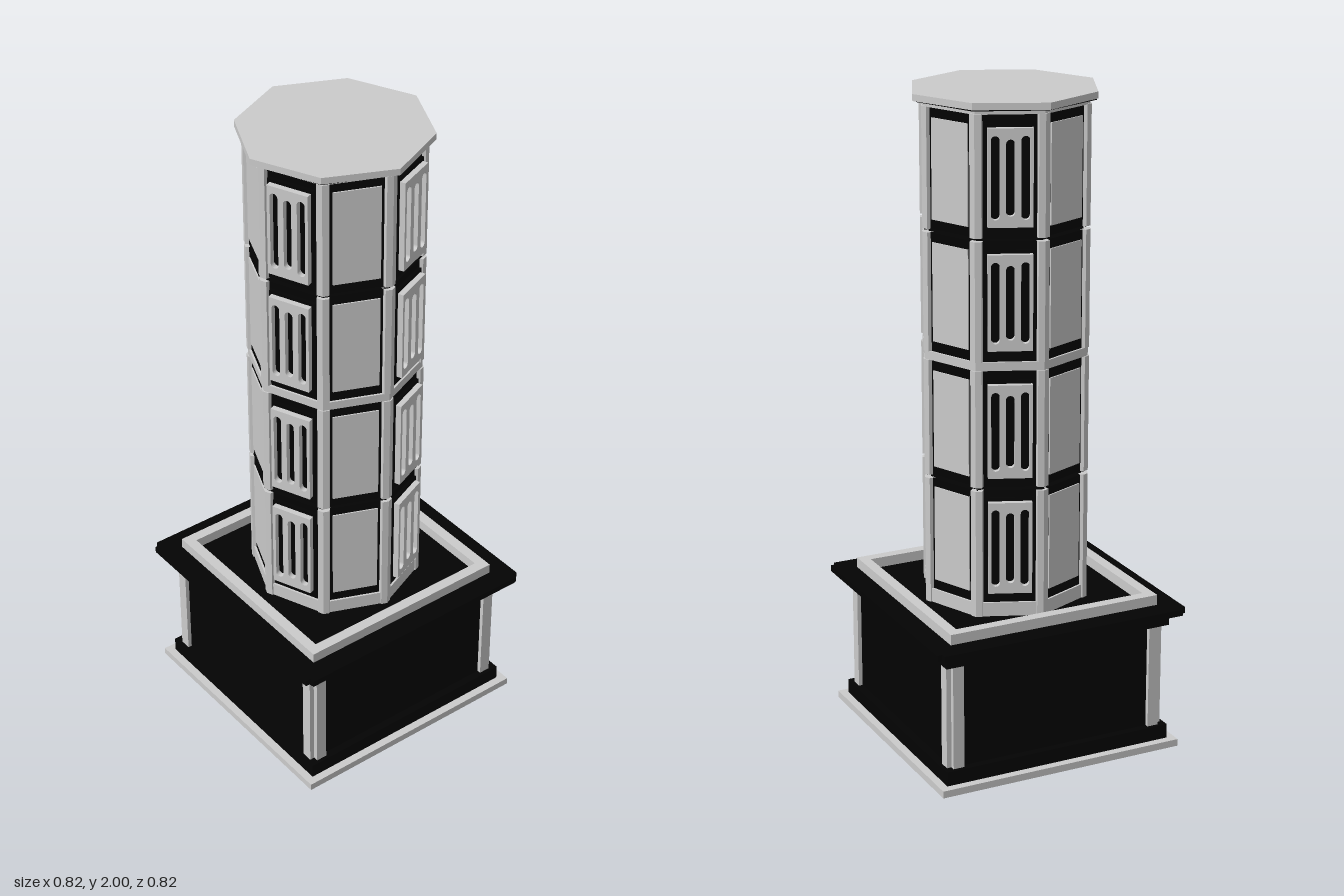
import * as THREE from 'three';

const grey = new THREE.MeshStandardMaterial({ color: 0xcccccc, flatShading: true });
const black = new THREE.MeshStandardMaterial({ color: 0x030303, flatShading: true });
const STEP = Math.PI / 4;

function add(parent, name, geometry, material, x = 0, y = 0, z = 0) {
  const mesh = new THREE.Mesh(geometry, material);
  mesh.name = name;
  mesh.position.set(x, y, z);
  parent.add(mesh);
  return mesh;
}

// rectangular slab between two heights
function slab(parent, name, halfX, y0, y1, material, halfZ = halfX) {
  return add(parent, name, new THREE.BoxGeometry(halfX * 2, y1 - y0, halfZ * 2), material, 0, (y0 + y1) / 2, 0);
}

// eight-sided prism between two heights
function octagon(parent, name, r, y0, y1, material) {
  return add(parent, name, new THREE.CylinderGeometry(r, r, y1 - y0, 8), material, 0, (y0 + y1) / 2, 0);
}

function polygon(points) {
  return new THREE.Shape(points.map(([x, y]) => new THREE.Vector2(x, y)));
}

function rectShape(w, h) {
  return polygon([[-w / 2, -h / 2], [w / 2, -h / 2], [w / 2, h / 2], [-w / 2, h / 2]]);
}

function extrude(shape, depth) {
  return new THREE.ExtrudeGeometry(shape, { depth, bevelEnabled: false, curveSegments: 6 });
}

// upright slot with rounded ends
function slotPath(x, w, h) {
  const r = w / 2, s = h / 2 - r;
  const p = new THREE.Path();
  p.absarc(x, s, r, 0, Math.PI, false);
  p.absarc(x, -s, r, Math.PI, Math.PI * 2, false);
  p.closePath();
  return p;
}

// grille plate with three slots
function grilleGeometry() {
  const shape = rectShape(0.13, 0.284);
  [-0.043, 0, 0.043].forEach(x => shape.holes.push(slotPath(x, 0.025, x ? 0.24 : 0.22)));
  return extrude(shape, 0.022);
}

// angled strip that wraps one corner of the octagon
function cornerPostGeometry(h) {
  const c = 0.019 * Math.cos(STEP / 2), s = 0.019 * Math.sin(STEP / 2), r = 0.263;
  const shape = polygon([[0, r], [-c, r - s], [-c, r - s - 0.02], [0, r - 0.02], [c, r - s - 0.02], [c, r - s]]);
  return extrude(shape, h).rotateX(Math.PI / 2).translate(0, h / 2, 0);
}

function buildBase() {
  const base = new THREE.Group();
  base.name = 'base';
  slab(base, 'bottomPlate', 0.395, 0, 0.022, grey);
  slab(base, 'plinth', 0.37, 0.022, 0.067, black);
  // body panels stand out between the corner posts
  slab(base, 'bodyPanelsSide', 0.347, 0.067, 0.395, black, 0.308);
  slab(base, 'bodyPanelsFront', 0.308, 0.067, 0.395, black, 0.347);
  slab(base, 'upperMoulding', 0.37, 0.395, 0.435, black);
  // cornice with notched corners
  slab(base, 'corniceWide', 0.41, 0.435, 0.455, black, 0.394);
  slab(base, 'corniceDeep', 0.394, 0.4351, 0.4549, black, 0.41);
  // stepped corner posts
  for (const sx of [-1, 1]) for (const sz of [-1, 1]) {
    const post = new THREE.Group();
    post.name = 'basePost';
    add(post, 'postSide', new THREE.BoxGeometry(0.05, 0.328, 0.035), grey, sx * 0.334, 0.231, sz * 0.3265);
    add(post, 'postFace', new THREE.BoxGeometry(0.035, 0.3279, 0.05), grey, sx * 0.3265, 0.231, sz * 0.334);
    base.add(post);
  }
  // raised square border round the foot of the tower
  const frame = rectShape(0.686, 0.686);
  frame.holes.push(rectShape(0.62, 0.62));
  add(base, 'border', extrude(frame, 0.034), grey, 0, 0.453, 0).rotation.x = -Math.PI / 2;
  return base;
}

function buildStorey(y0, y1, mid) {
  const storey = new THREE.Group();
  storey.name = 'storey';
  octagon(storey, 'wall', 0.252, y0, y1, black);
  const post = cornerPostGeometry(y1 - y0);
  const panel = new THREE.BoxGeometry(0.138, 0.296, 0.01);
  const backing = new THREE.BoxGeometry(0.146, 0.304, 0.02);
  const grille = grilleGeometry();
  for (let i = 0; i < 8; i++) {
    add(storey, 'cornerPost', post, grey, 0, (y0 + y1) / 2, 0).rotation.y = i * STEP;
    // three of the eight faces carry raised grilles
    const side = new THREE.Group();
    side.name = 'face';
    side.rotation.y = (i + 0.5) * STEP;
    if ([0, 3, 6].includes(i)) {
      add(side, 'grilleBacking', backing, black, 0, mid, 0.232);
      add(side, 'grille', grille, grey, 0, mid, 0.2375);
    } else add(side, 'panel', panel, grey, 0, mid, 0.232);
    storey.add(side);
  }
  return storey;
}

// flat lid, slightly wider along the main axes
function capGeometry(depth) {
  const points = [];
  for (let i = 0; i < 8; i++) {
    const r = i % 2 ? 0.282 : 0.29;
    points.push([r * Math.cos(i * STEP), r * Math.sin(i * STEP)]);
  }
  return extrude(polygon(points), depth).rotateX(-Math.PI / 2);
}

export function createModel() {
  const model = new THREE.Group();
  model.name = 'tower';
  model.add(buildBase());

  // recessed core seen in the gaps between storeys
  octagon(model, 'core', 0.22, 0.45, 1.97, black);
  [[0.455, 0.85, 0.677], [0.861, 1.217, 1.037], [1.243, 1.599, 1.423], [1.609, 1.965, 1.786]]
    .forEach(([y0, y1, mid]) => model.add(buildStorey(y0, y1, mid)));
  octagon(model, 'footBand', 0.259, 0.455, 0.498, grey);
  octagon(model, 'middleBand', 0.259, 1.217, 1.243, grey);
  octagon(model, 'topBand', 0.259, 1.963, 1.978, grey);
  octagon(model, 'capLiner', 0.278, 1.976, 1.981, black);
  add(model, 'cap', capGeometry(0.02), grey, 0, 1.98, 0);
  return model;
}
